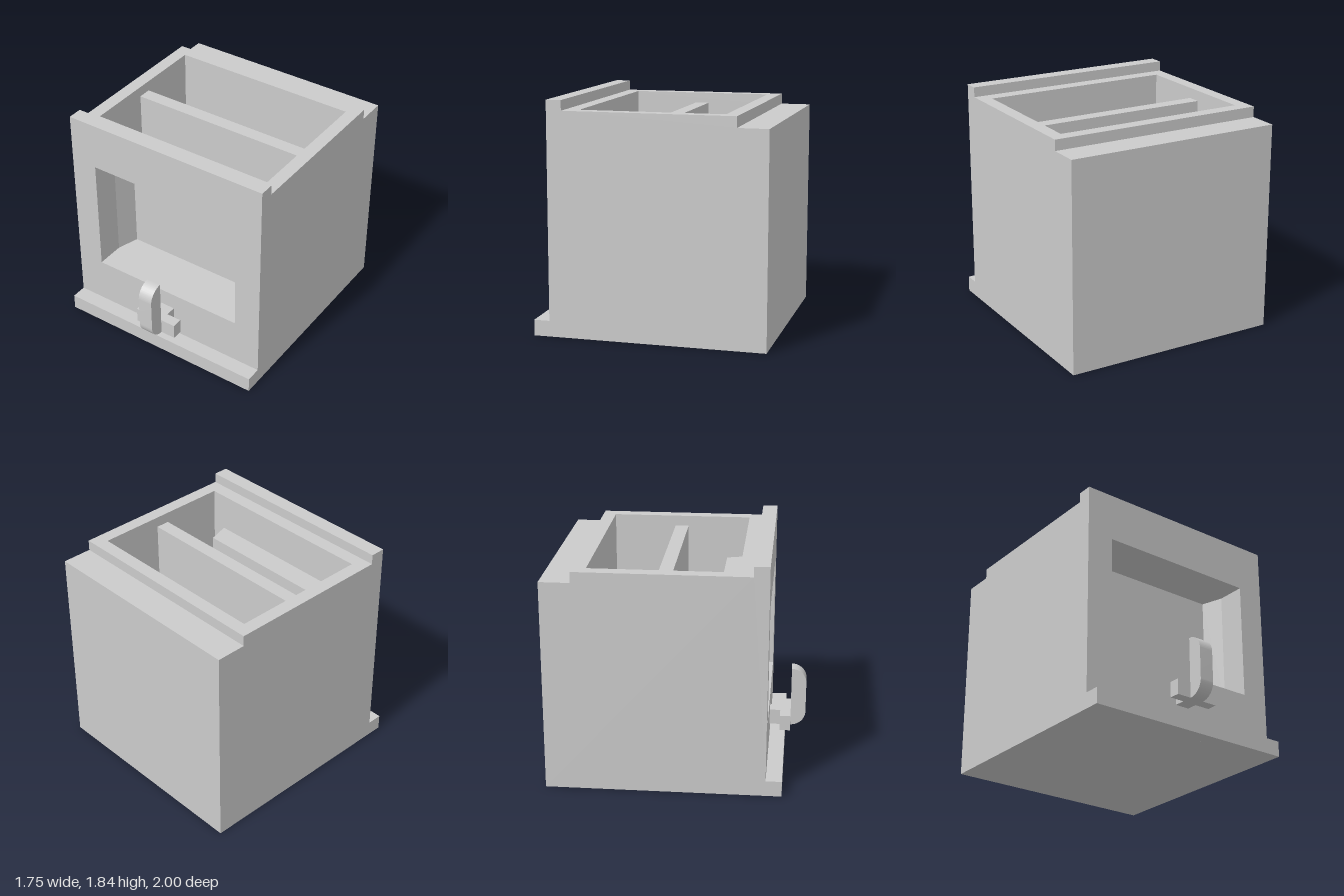
import * as THREE from 'three';
import { toCreasedNormals } from 'three/addons/utils/BufferGeometryUtils.js';

const grey = new THREE.MeshStandardMaterial({ color: 0xcccccc });
const thin = new THREE.MeshStandardMaterial({ color: 0xcccccc, side: THREE.DoubleSide, flatShading: true });

export function createModel() {
  const model = new THREE.Group();

  const add = (name, geometry, material = grey) => {
    const mesh = new THREE.Mesh(geometry, material);
    mesh.name = name;
    model.add(mesh);
  };

  // Box given by its extents on each axis
  const box = (name, [x0, x1], [y0, y1], [z0, z1]) =>
    add(name, new THREE.BoxGeometry(x1 - x0, y1 - y0, z1 - z0)
      .translate((x0 + x1) / 2, (y0 + y1) / 2, (z0 + z1) / 2));

  // Side profile in (z, y), extruded across x
  const acrossX = (shape, x0, x1) =>
    new THREE.ExtrudeGeometry(shape, { depth: x1 - x0, bevelEnabled: false, curveSegments: 16 })
      .rotateY(-Math.PI / 2).translate(x1, 0, 0);
  const polygon = (points) => new THREE.Shape(points.map(([u, v]) => new THREE.Vector2(u, v)));

  const outer = 0.875, inner = 0.77;
  const window = { x: 0.655, y0: 0.505, y1: 1.455 };

  // Side walls with the stepped top and the foot of the base ledge
  const sideProfile = polygon([
    [-1, 0], [0.835, 0], [0.835, 0.125], [0.71, 0.125], [0.71, 1.84], [0.59, 1.84],
    [0.59, 1.76], [-0.76, 1.76], [-0.76, 1.675], [-1, 1.675],
  ]);
  add('leftWall', acrossX(sideProfile, inner, outer));
  add('rightWall', acrossX(sideProfile, -outer, -inner));

  // Back wall with its lower rear step
  add('backWall', acrossX(polygon([
    [-1, 0], [-0.655, 0], [-0.655, 1.76], [-0.76, 1.76], [-0.76, 1.675], [-1, 1.675],
  ]), -inner, inner));

  // Front wall pierced by the window
  const front = polygon([[-inner, 0], [inner, 0], [inner, 1.76], [-inner, 1.76]]);
  front.holes.push(polygon([
    [-window.x, window.y0], [-window.x, window.y1], [window.x, window.y1], [window.x, window.y0],
  ]));
  add('frontWall', new THREE.ExtrudeGeometry(front, { depth: 0.23, bevelEnabled: false }).translate(0, 0, 0.48));
  box('frontLip', [-inner, inner], [1.76, 1.84], [0.59, 0.71]);
  box('baseLedge', [-inner, inner], [0, 0.125], [0.71, 0.835]);

  // Floor and divider of the open compartment
  box('floor', [-inner, inner], [0, 0.125], [-0.655, 0.48]);
  box('divider', [-inner, inner], [0.125, 1.675], [-0.145, -0.035]);

  // Window recess: a box open to the front, narrowed towards its back panel
  const recess = new THREE.BoxGeometry(window.x * 2, window.y1 - window.y0, 0.175)
    .translate(0, (window.y0 + window.y1) / 2, 0.3925);
  const pos = recess.attributes.position;
  for (let i = 0; i < pos.count; i++) {
    if (pos.getZ(i) < 0.39) pos.setX(i, Math.sign(pos.getX(i)) * 0.6);
  }
  const faces = Array.from(recess.index.array);
  faces.splice(24, 6); // leave out the front face
  recess.setIndex(faces);
  recess.clearGroups();
  recess.computeVertexNormals();
  add('windowRecess', recess, thin);

  // Latch: stem, crossbar and rounded upright handle
  box('latchStem', [-0.05, 0.07], [0.24, 0.365], [0.71, 0.795]);
  box('latchCrossbar', [-0.17, 0.195], [0.24, 0.365], [0.795, 0.88]);
  const handle = new THREE.Shape();
  handle.moveTo(0.88, 0.24);
  handle.absarc(0.88, 0.36, 0.12, -Math.PI / 2, 0);
  handle.absarc(0.88, 0.61, 0.12, 0, Math.PI / 2);
  handle.closePath();
  add('latchHandle', toCreasedNormals(acrossX(handle, -0.05, 0.07), 0.5));

  return model;
}
